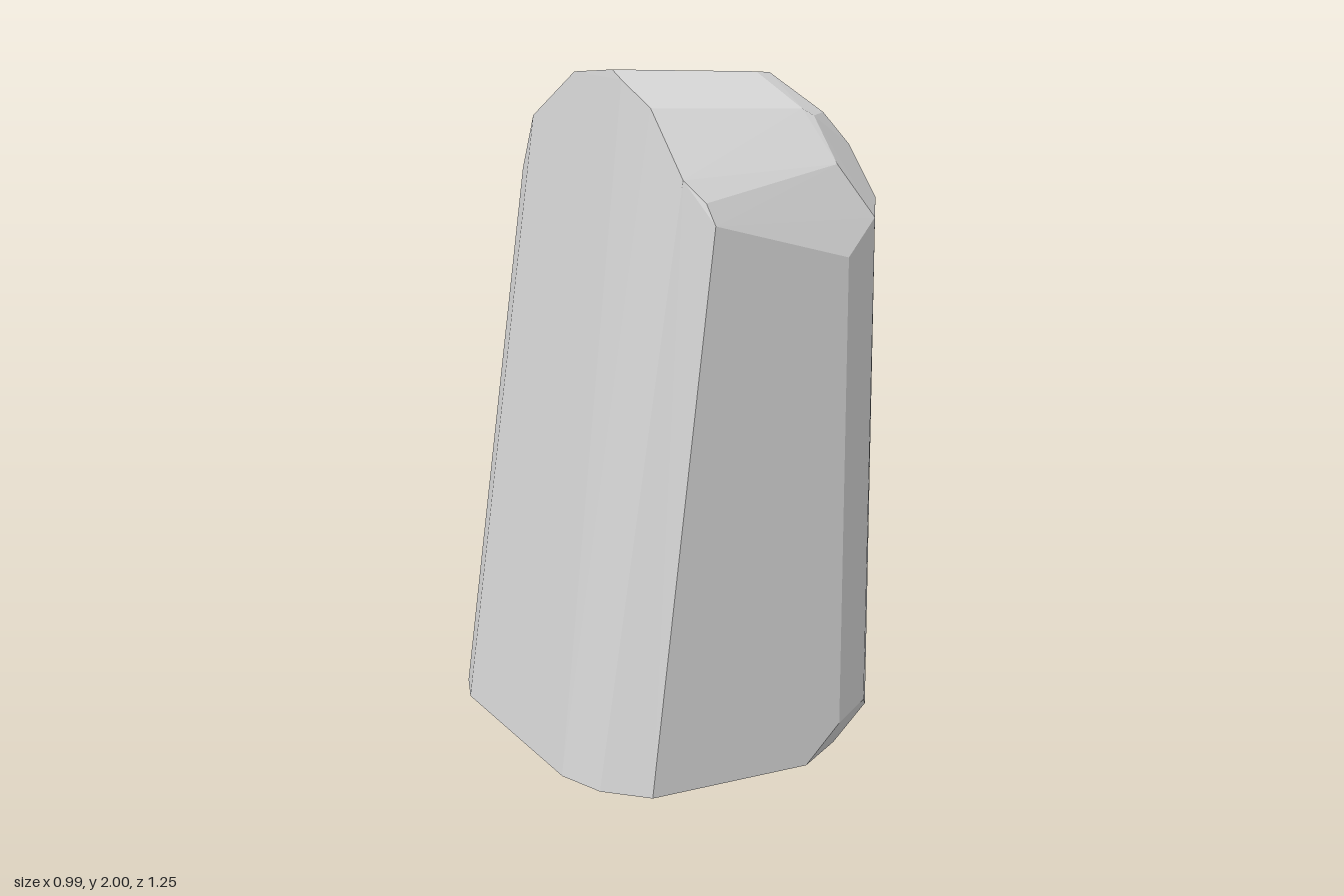
import * as THREE from 'three';
import { ConvexGeometry } from 'three/addons/geometries/ConvexGeometry.js';

export function createModel() {
  const group = new THREE.Group();
  group.name = 'standingStone';
  const stone = new THREE.MeshStandardMaterial({ color: 0xd5d5d5, flatShading: true });
  stone.name = 'pale grey stone';

  const W = 0.495; // right wall
  const D = 0.623; // front and back walls
  const points = [];
  const add = (...list) => list.forEach((p) => points.push(new THREE.Vector3(...p)));

  // corners shared by the front and back halves
  for (const s of [1, -1]) {
    add(
      // foot, with the right-hand corners chipped
      [-W, 0, 0.365 * s], [-0.445, 0, 0.513 * s], [-0.335, 0, D * s],
      [0.17, 0, D * s], [0.34, 0, 0.51 * s],
      [0.283, 0.11, D * s], [0.405, 0.145, 0.57 * s],
      [0.45, 0.105, 0.513 * s], [W, 0.14, 0.442 * s],
      // right wall top
      [W, 1.635, 0.442 * s],
      // rounded roof along the left edge
      [-0.21, 2, 0.13 * s], [-0.205, 1.7, 0.55 * s],
    );
  }
  add([0.405, 0, -0.2], [W, 0.085, -0.2]);

  // front of the roof
  add(
    [-0.145, 1.58, D], [-0.16, 1.64, 0.598], [0.283, 1.48, D], [0.405, 1.585, 0.57],
    [-0.21, 1.89, 0.37], [0.28, 1.89, 0.375], [0.31, 1.87, 0.39], [0.31, 1.735, 0.515],
    [-0.215, 1.97, 0.2],
  );
  // back of the roof
  add(
    [-0.12, 1.62, -D], [0.09, 1.62, -D], [0.285, 1.47, -D], [0.405, 1.53, -0.57],
    [0.43, 1.61, -0.53], [0.32, 1.74, -0.515], [0.31, 1.89, -0.38], [0.34, 1.895, -0.32],
    [-0.226, 1.87, -0.41],
  );
  // flat crown and the chipped right shoulder
  add(
    [0.27, 2, 0.13], [0.36, 2, 0.06], [0.29, 2, -0.14],
    [0.42, 1.88, 0.27], [W, 1.785, 0.3], [W, 1.85, -0.15], [W, 1.82, -0.26],
  );

  const rock = new THREE.Mesh(new ConvexGeometry(points), stone);
  rock.name = 'rock';
  group.add(rock);
  return group;
}
